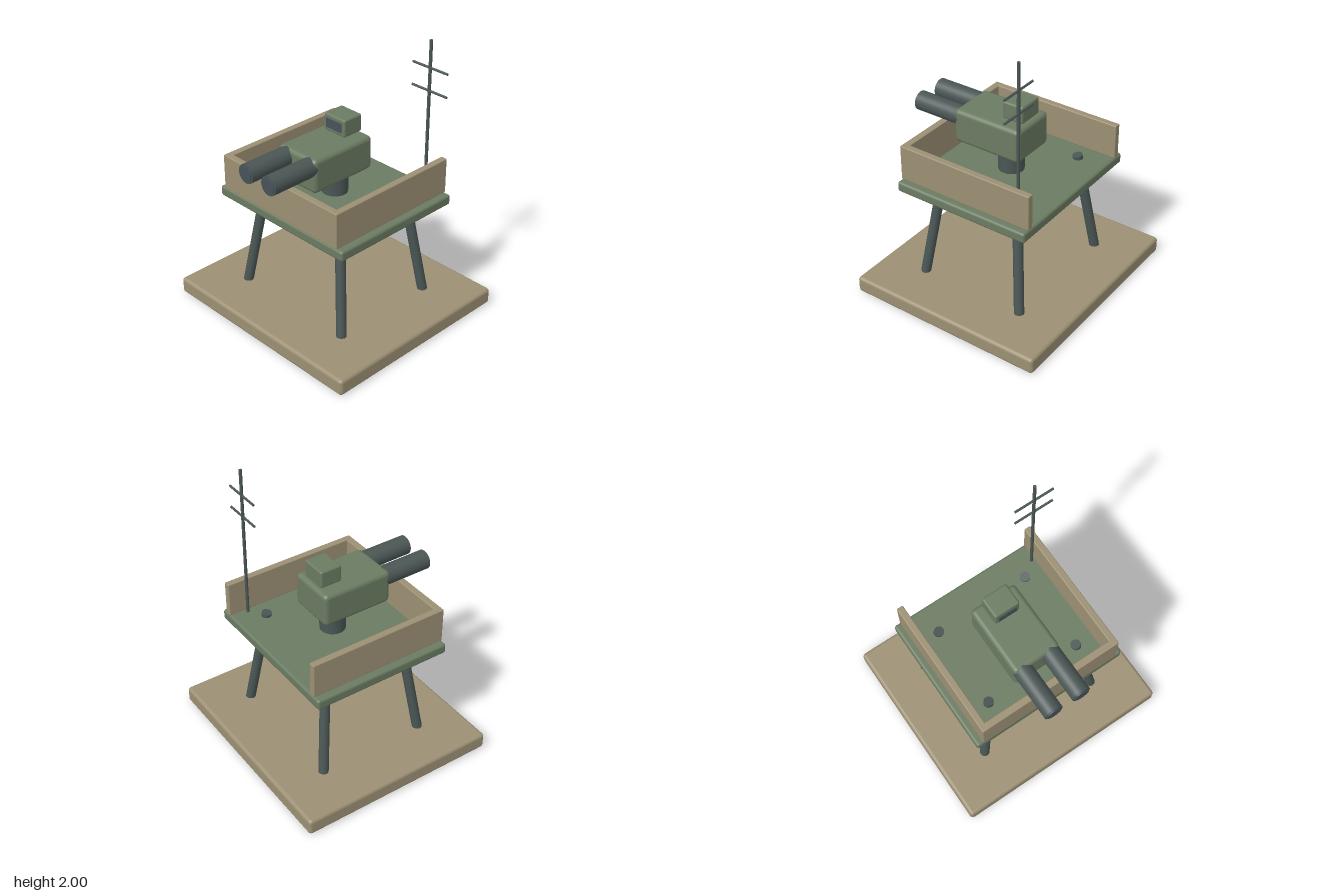
import * as THREE from 'three';
import { RoundedBoxGeometry } from 'three/addons/geometries/RoundedBoxGeometry.js';

const mat = (name, color) => {
  const m = new THREE.MeshStandardMaterial({ color });
  m.name = name;
  return m;
};

export function createModel() {
  const tan = mat('tan', 0x9c9074);
  const green = mat('olive green', 0x6b7b62);
  const slate = mat('slate', 0x4a5655);
  const glass = mat('dark glass', 0x48525a);
  const model = new THREE.Group();
  model.name = 'watchtowerTurret';

  const add = (name, geometry, material, parent = model) => {
    const mesh = new THREE.Mesh(geometry, material);
    mesh.name = name;
    parent.add(mesh);
    return mesh;
  };
  // Rounded box from its minimum and maximum corners
  const box = (name, material, a, b, r, parent) => {
    const s = b.map((v, i) => v - a[i]);
    const mesh = add(name, new RoundedBoxGeometry(s[0], s[1], s[2], 3, r), material, parent);
    mesh.position.set(...a.map((v, i) => (v + b[i]) / 2));
    return mesh;
  };
  // Round rod between two points
  const rod = (name, material, a, b, r, parent, sides = 24) => {
    const p = new THREE.Vector3(...a), q = new THREE.Vector3(...b);
    const mesh = add(name, new THREE.CylinderGeometry(r, r, p.distanceTo(q), sides), material, parent);
    mesh.position.copy(p).add(q).multiplyScalar(0.5);
    mesh.quaternion.setFromUnitVectors(new THREE.Vector3(0, 1, 0), q.sub(p).normalize());
    return mesh;
  };

  // Ground slab and raised deck
  box('base', tan, [-0.81, 0, -0.735], [0.81, 0.12, 0.735], 0.025);
  box('deck', green, [-0.587, 0.805, -0.513], [0.587, 0.88, 0.513], 0.018);

  // Splayed legs whose tops poke through the deck
  for (const x of [-1, 1]) for (const z of [-1, 1]) {
    rod('leg', slate, [x * 0.47, 0.115, z * 0.398], [x * 0.355, 0.905, z * 0.3], 0.035);
  }

  // Parapet, open at the back
  for (const x of [-0.515, 0.515]) {
    box('sideWall', tan, [x - 0.024, 0.88, -0.513], [x + 0.024, 1.135, 0.513], 0.007);
  }
  box('frontWall', tan, [-0.5, 0.88, 0.463], [0.5, 1.135, 0.513], 0.007);

  // Turret
  const turret = new THREE.Group();
  turret.name = 'turret';
  model.add(turret);
  rod('pedestal', slate, [0, 0.87, 0], [0, 1.08, 0], 0.09, turret, 32);
  box('turretBody', green, [-0.175, 1.05, -0.177], [0.175, 1.295, 0.348], 0.032, turret);
  for (const x of [-0.107, 0.107]) {
    rod('barrel', slate, [x, 1.226, 0.3], [x, 1.226, 0.68], 0.068, turret, 32);
    rod('muzzleDisc', glass, [x, 1.226, 0.675], [x, 1.226, 0.688], 0.056, turret, 32);
  }

  // Sight with its window
  box('sightHousing', green, [-0.095, 1.308, -0.155], [0.095, 1.435, 0.006], 0.014, turret);
  const lens = add('sightWindow', new THREE.BoxGeometry(0.138, 0.066, 0.009), glass, turret);
  lens.position.set(0, 1.372, 0.0085);

  // Antenna mast and crossbars
  const antenna = new THREE.Group();
  antenna.name = 'antenna';
  model.add(antenna);
  rod('mast', slate, [0.467, 0.87, -0.385], [0.467, 2, -0.385], 0.011, antenna, 16);
  for (const y of [1.65, 1.81]) {
    rod('crossbar', slate, [0.321, y, -0.385], [0.614, y, -0.385], 0.008, antenna, 12);
  }
  return model;
}
